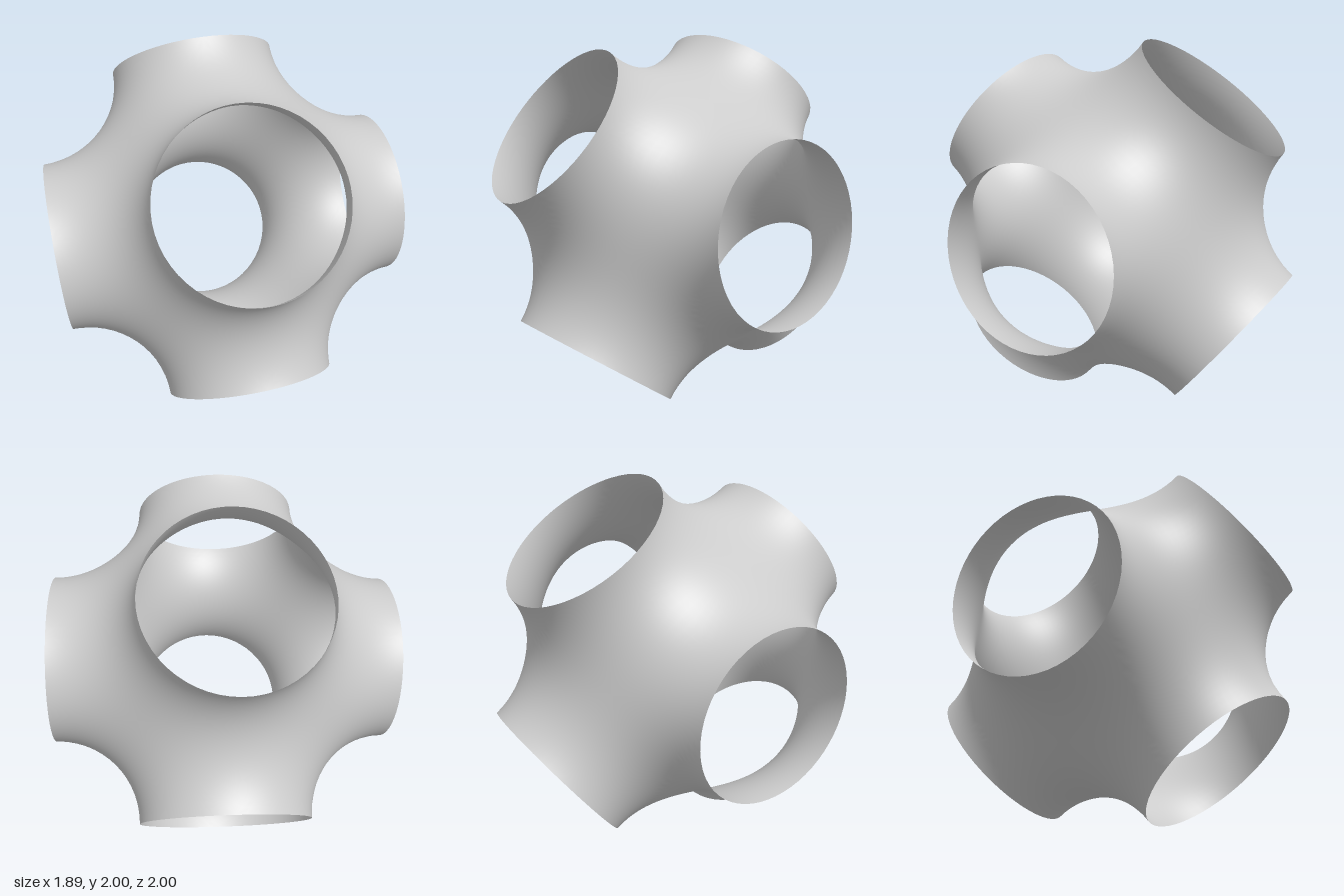
import * as THREE from 'three';
import { mergeGeometries } from 'three/addons/utils/BufferGeometryUtils.js';

const PI = Math.PI, HALF = 0.91;   // half the cell's width
const K = -0.53;                   // correction that makes the six openings round
const ARC = 14, RINGS = 14;

// Triply periodic minimal surface: field = 0 inside the cell [-PI, PI]^3
const field = (x, y, z) => {
  const a = Math.cos(x), b = Math.cos(y), c = Math.cos(z);
  return a + b + c + K * a * b * c;
};

// Root of a decreasing function by bisection
function solve(f, lo, hi) {
  for (let i = 0; i < 45; i++) {
    const mid = (lo + hi) / 2;
    if (f(mid) > 0) lo = mid; else hi = mid;
  }
  return (lo + hi) / 2;
}

// Point on a quarter of an opening's rim, in the plane x = PI
function rimPoint(angle) {
  const c = Math.cos(angle), s = Math.sin(angle);
  const r = solve(t => field(PI, t * c, t * s), 0, 2);
  return [PI, r * c, r * s];
}

// Outward surface normal
function normalAt(x, y, z) {
  const part = (u, v, w) => Math.sin(u) * (1 + K * Math.cos(v) * Math.cos(w));
  return new THREE.Vector3(part(x, y, z), part(y, z, x), part(z, x, y)).normalize();
}

// One of six sectors of an octant, fanned from the octant's centre to its edge.
// rim = true ends at an opening, false at the saddle between two openings.
function sector(axis, rim, sign) {
  const pos = [], nor = [], index = [];
  for (let i = 0; i <= ARC; i++) {
    const q = rimPoint((1 - i / ARC) * PI / 2).map(v => (rim ? v : PI - v));
    const edge = [0, 1, 2].map(k => q[(k - axis + 3) % 3]);
    const mean = (edge[0] + edge[1] + edge[2]) / 3;
    for (let j = 0; j <= RINGS; j++) {
      const base = edge.map(v => PI / 2 + (v - mean) * j / RINGS);
      const t = solve(d => field(base[0] + d, base[1] + d, base[2] + d), -0.7, 0.7);
      const p = base.map(v => v + t);
      const n = normalAt(...p);
      pos.push(...p.map((v, k) => v * sign[k] * HALF / PI));
      nor.push(n.x * sign[0], n.y * sign[1], n.z * sign[2]);
    }
  }
  const mirrored = sign[0] * sign[1] * sign[2] < 0;
  const tri = (a, b, c) => (mirrored ? index.push(a, c, b) : index.push(a, b, c));
  for (let i = 0; i < ARC; i++) {
    for (let j = 0; j < RINGS; j++) {
      const a = i * (RINGS + 1) + j, b = a + RINGS + 1;
      if (j > 0) tri(a, a + 1, b);
      tri(a + 1, b + 1, b);
    }
  }
  const g = new THREE.BufferGeometry();
  g.setAttribute('position', new THREE.Float32BufferAttribute(pos, 3));
  g.setAttribute('normal', new THREE.Float32BufferAttribute(nor, 3));
  g.setIndex(index);
  return g;
}

export function createModel() {
  // Eight mirrored octants of six sectors each
  const parts = [];
  for (const sx of [1, -1]) for (const sy of [1, -1]) for (const sz of [1, -1]) {
    for (let axis = 0; axis < 3; axis++) {
      for (const rim of [true, false]) parts.push(sector(axis, rim, [sx, sy, sz]));
    }
  }
  const surface = new THREE.Mesh(
    mergeGeometries(parts),
    new THREE.MeshStandardMaterial({ color: 0xcccccc, side: THREE.DoubleSide })
  );
  surface.name = 'minimalSurfaceCell';

  // Tilt the cell: directions of its side, upper back and upper front openings
  const side = new THREE.Vector3(0.91, 0.045, 0.063).normalize();
  const back = new THREE.Vector3(0.002, 0.73, -0.55);
  const front = new THREE.Vector3().crossVectors(side, back).normalize();
  back.crossVectors(front, side);
  surface.quaternion.setFromRotationMatrix(new THREE.Matrix4().makeBasis(side, back, front));
  surface.position.y = 1;

  const group = new THREE.Group();
  group.name = 'sixOpeningSurface';
  group.add(surface);
  return group;
}
